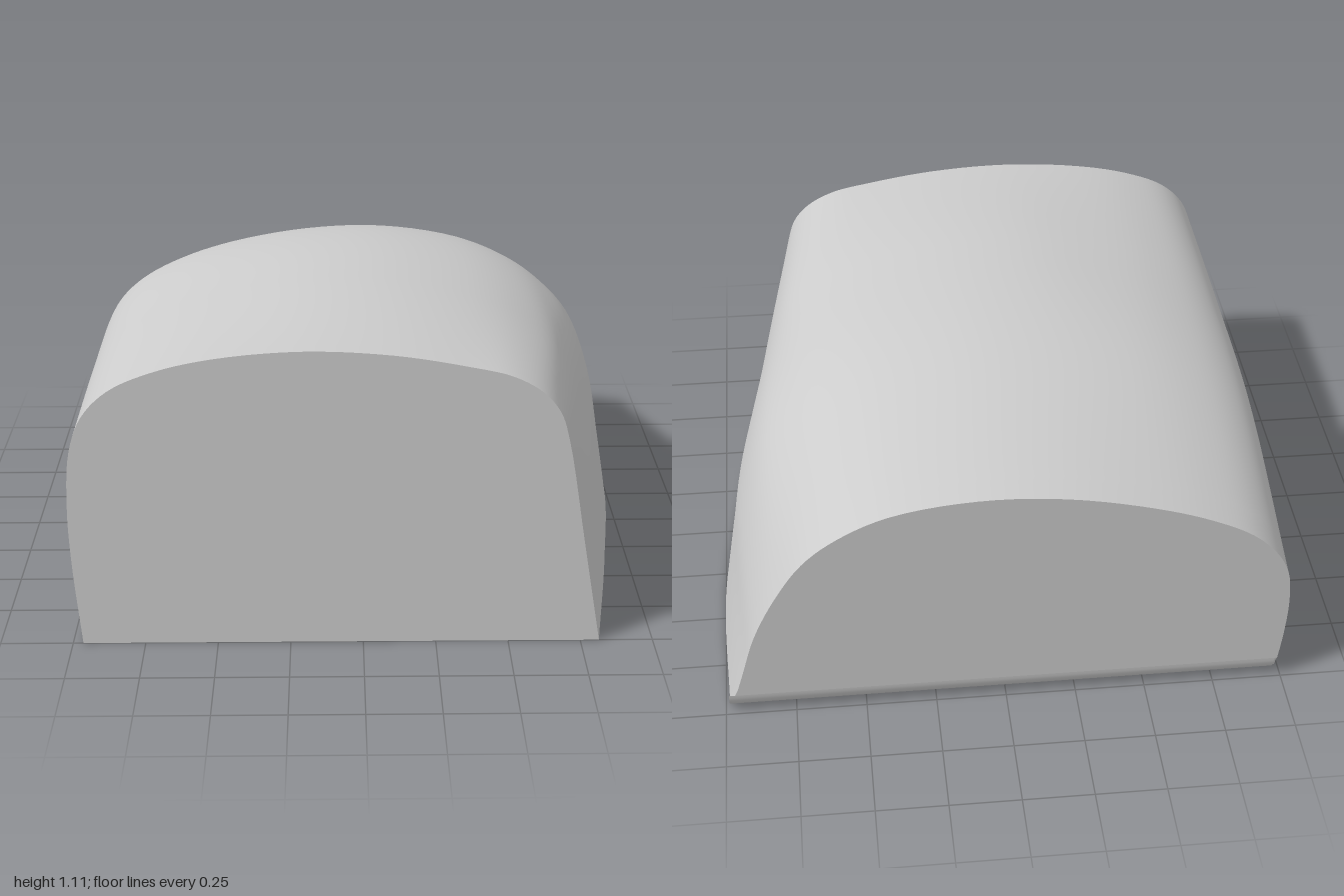
import * as THREE from 'three';

// Cross-sections [x, y] from the lower -x edge over the top to the lower +x edge,
// evenly spaced from the front (z = 1) to the back (z = -1)
const frontSection = [[-0.965, 0], [-0.993, 0.3], [-1, 0.5], [-0.985, 0.7], [-0.94, 0.82], [-0.85, 0.91],
  [-0.7, 0.975], [-0.5, 1.02], [-0.2, 1.045], [0.1, 1.03], [0.35, 0.99], [0.5, 0.955], [0.6, 0.9],
  [0.66, 0.83], [0.692, 0.73], [0.755, 0.36], [0.815, 0]];
const foreSection = [[-0.97, 0], [-0.995, 0.3], [-1, 0.5], [-0.985, 0.7], [-0.94, 0.82], [-0.85, 0.91],
  [-0.7, 0.985], [-0.5, 1.045], [-0.2, 1.095], [0.1, 1.09], [0.4, 1.03], [0.58, 0.955], [0.7, 0.865],
  [0.77, 0.74], [0.83, 0.5], [0.88, 0.25], [0.92, 0]];
const aftSection = [[-0.97, 0], [-0.995, 0.3], [-1, 0.48], [-0.985, 0.67], [-0.94, 0.79], [-0.85, 0.88],
  [-0.7, 0.96], [-0.5, 1.025], [-0.2, 1.075], [0.1, 1.08], [0.4, 1.03], [0.58, 0.96], [0.7, 0.88],
  [0.82, 0.75], [0.91, 0.52], [0.955, 0.27], [1, 0]];
const backSection = [[-0.97, 0], [-0.995, 0.22], [-1, 0.38], [-0.985, 0.5], [-0.94, 0.59], [-0.85, 0.68],
  [-0.7, 0.76], [-0.5, 0.83], [-0.2, 0.895], [0.1, 0.91], [0.4, 0.865], [0.58, 0.78], [0.7, 0.68],
  [0.8, 0.53], [0.88, 0.36], [0.93, 0.19], [0.985, 0]];

const ROUND = 0.09; // radius of the lower back edge
const AROUND = 80;

// Smooth lengthwise curves through matching section points
const sections = [frontSection, foreSection, aftSection, backSection];
const rails = frontSection.map((_, i) => new THREE.CatmullRomCurve3(
  sections.map((s) => new THREE.Vector3(s[i][0], s[i][1], 0)), false, 'catmullrom'));

// One outline at depth z, with everything below the rounded edge raised to it
function outline(z, lift) {
  const u = Math.min(1, Math.max(0, (1 - z) / 2));
  const ring = new THREE.CatmullRomCurve3(rails.map((r) => r.getPoint(u)));
  return ring.getPoints(AROUND).map((p) => {
    const y = Math.max(p.y, lift);
    // the front face leans back slightly
    return new THREE.Vector3(p.x, y, -1 + (z + 1) * (1 - 0.024 * y));
  });
}

// Surface through rows of points
function surface(rows, name, material) {
  const n = rows[0].length;
  const index = [];
  for (let i = 0; i < rows.length - 1; i++) {
    for (let j = 0; j < n - 1; j++) {
      const a = i * n + j, b = a + n;
      index.push(a, a + 1, b, a + 1, b + 1, b);
    }
  }
  const geometry = new THREE.BufferGeometry().setFromPoints(rows.flat());
  geometry.setIndex(index);
  geometry.computeVertexNormals();
  const mesh = new THREE.Mesh(geometry, material);
  mesh.name = name;
  return mesh;
}

export function createModel() {
  const group = new THREE.Group();
  group.name = 'domedBlock';
  const material = new THREE.MeshStandardMaterial({ color: 0xcccccc });

  // Outlines from front to back, then around the rounded lower back edge
  const rows = [];
  const STEPS = 40;
  for (let i = 0; i < STEPS; i++) rows.push(outline(1 - (i / STEPS) * (2 - ROUND), 0));
  for (let i = 0; i <= 10; i++) {
    const a = (i / 10) * Math.PI / 2;
    rows.push(outline(-1 + ROUND - ROUND * Math.sin(a), ROUND - ROUND * Math.cos(a)));
  }
  const front = rows[0];
  const back = rows[rows.length - 1];

  // Flat end faces fan out from the middle of their lower edge
  const hub = (row) => {
    const middle = row[0].clone().lerp(row[AROUND], 0.5);
    return row.map(() => middle);
  };

  group.add(
    surface(rows, 'domedShell', material),
    surface(rows.map((r) => [r[AROUND], r[0]]), 'underside', material),
    surface([hub(front), front], 'frontFace', material),
    surface([back, hub(back)], 'backFace', material),
  );
  return group;
}
